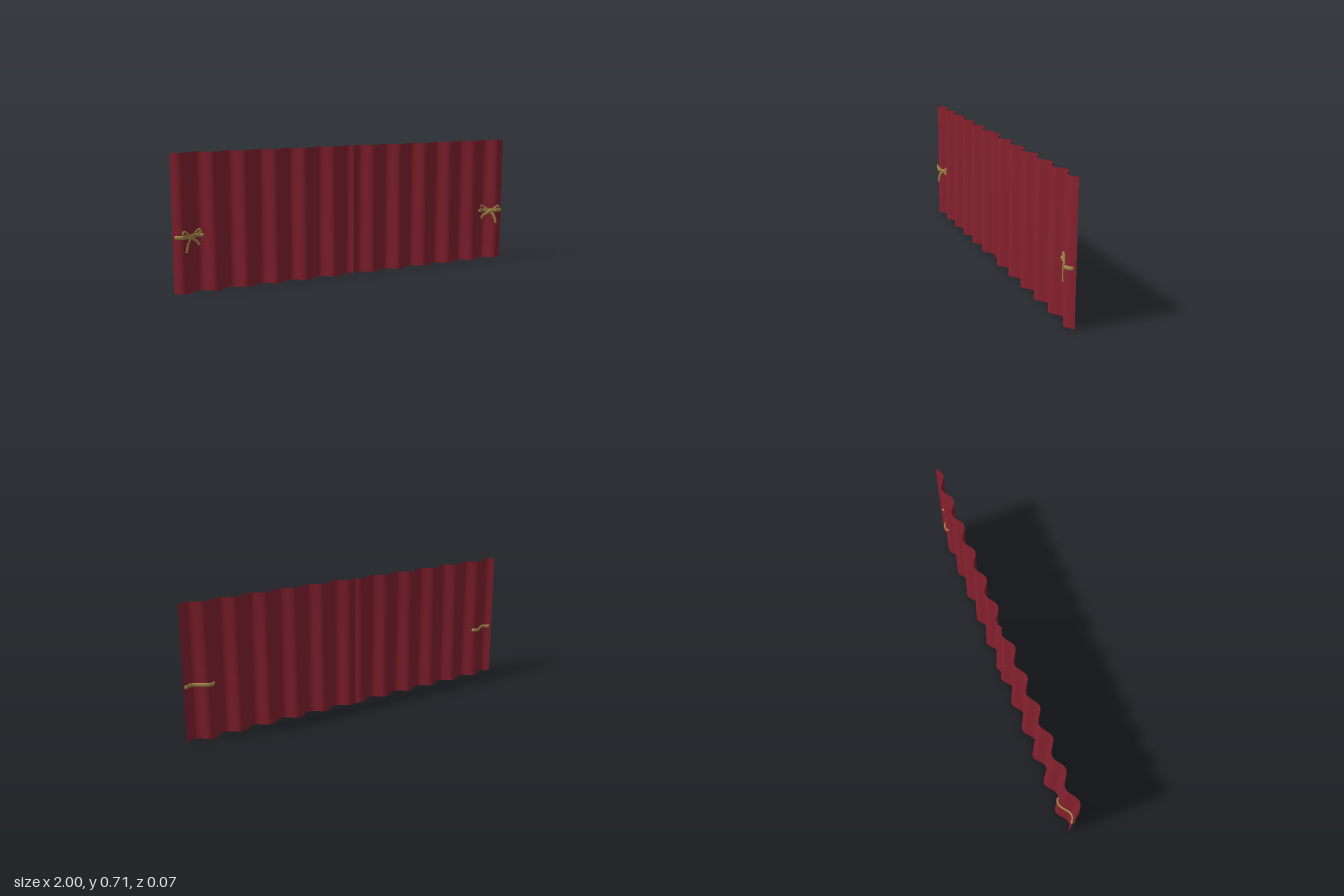
import * as THREE from 'three';

const HEIGHT = 0.707, PERIOD = 0.166, TIE_Y = 0.288;

// depth of the pleats, mirrored about the centre and slightly deeper at the hem
function pleat(x, y) {
  const amp = 0.0235 - 0.004 * (y / HEIGHT);
  return amp * Math.cos((2 * Math.PI * (Math.abs(x) - 0.12)) / PERIOD);
}

// pushes a geometry out so that it follows the pleats
function drape(geometry, offset = 0) {
  const p = geometry.attributes.position;
  for (let i = 0; i < p.count; i++) {
    p.setZ(i, p.getZ(i) + offset + pleat(p.getX(i), p.getY(i)));
  }
  geometry.computeVertexNormals();
  return geometry;
}

export function createModel() {
  const model = new THREE.Group();
  model.name = 'curtains';

  const cloth = new THREE.MeshStandardMaterial({ color: 0x8a2230, side: THREE.DoubleSide });
  cloth.name = 'red cloth';
  const gold = new THREE.MeshStandardMaterial({ color: 0xa88a48, side: THREE.DoubleSide });
  gold.name = 'gold ribbon';

  function add(parent, name, geometry, material) {
    const mesh = new THREE.Mesh(geometry, material);
    mesh.name = name;
    parent.add(mesh);
  }

  // a ribbon lying on the cloth; points are x from the knot, y from the tie, and lift
  function ribbon(side, points, radius, closed) {
    const path = new THREE.CatmullRomCurve3(
      points.map(([x, y, z]) => new THREE.Vector3(side * (0.906 + x), TIE_Y + y, z * 2)), closed);
    const g = new THREE.TubeGeometry(path, 32, radius, 8, closed);
    g.scale(1, 1, 0.5);
    return drape(g, 0.006);
  }

  for (const side of [1, -1]) {
    const label = side > 0 ? 'left' : 'right';

    // pleated panel
    const panel = new THREE.PlaneGeometry(1, HEIGHT, 120, 8);
    panel.translate(side * 0.5, HEIGHT / 2, 0);
    add(model, label + 'Panel', drape(panel), cloth);

    const tie = new THREE.Group();
    tie.name = label + 'Tieback';
    model.add(tie);

    // flat band looped around the front and back of the gathered cloth
    const loop = [];
    for (let i = 0; i <= 10; i++) {
      const x = 0.845 + 0.014 * i;
      loop.push(new THREE.Vector3(side * x, 0, pleat(x, TIE_Y) + 0.006));
    }
    for (let i = 10; i >= 0; i--) {
      const x = 0.845 + 0.014 * i;
      loop.push(new THREE.Vector3(side * x, 0, pleat(x, TIE_Y) - 0.006));
    }
    const band = new THREE.TubeGeometry(
      new THREE.CatmullRomCurve3(loop, true), 96, 0.005, 8, true);
    band.scale(1, 2, 1);
    band.translate(0, TIE_Y, 0);
    add(tie, 'band', band, gold);

    // bow: two loops, two hanging tails and a knot
    for (const d of [1, -1]) {
      add(tie, 'bowLoop', ribbon(side, [
        [0, -0.004, 0.003], [d * 0.022, 0.016, 0.006], [d * 0.046, 0.031, 0.005],
        [d * 0.05, 0.018, 0.004], [d * 0.028, 0.001, 0.003],
      ], 0.0055, true), gold);
    }
    add(tie, 'outerTail', ribbon(side,
      [[0, -0.004, 0.003], [0.016, -0.022, 0.004], [0.026, -0.045, 0.003], [0.034, -0.076, 0.002]],
      0.007, false), gold);
    add(tie, 'innerTail', ribbon(side,
      [[0, -0.004, 0.003], [-0.014, -0.018, 0.004], [-0.03, -0.03, 0.003], [-0.044, -0.05, 0.002]],
      0.007, false), gold);
    const knot = new THREE.SphereGeometry(0.011, 16, 10);
    knot.scale(1, 1.1, 0.55);
    knot.translate(side * 0.906, TIE_Y - 0.003, 0.004);
    add(tie, 'knot', drape(knot, 0.006), gold);
  }

  return model;
}
